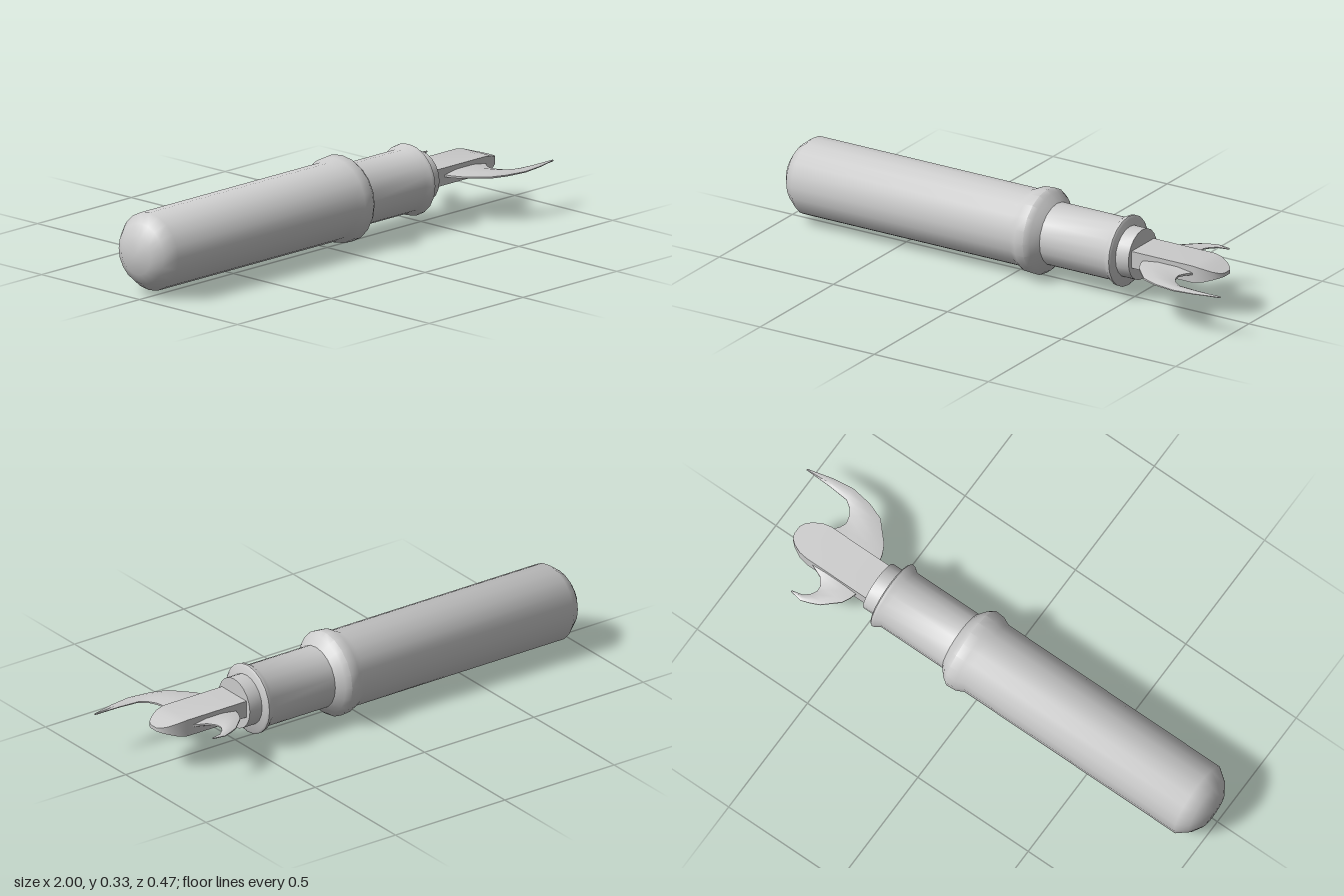
import * as THREE from 'three';
import { toCreasedNormals } from 'three/addons/utils/BufferGeometryUtils.js';

const AXIS_Y = 0.166, AXIS_Z = -0.022;
const material = new THREE.MeshStandardMaterial({ color: 0xcccccc });

function addMesh(group, name, geometry, crease) {
  const mesh = new THREE.Mesh(toCreasedNormals(geometry, crease), material);
  mesh.name = name;
  group.add(mesh);
  return mesh;
}

// Turned part along x; profile points are [radius, x]
function turned(profile) {
  const pts = profile.map(([r, x]) => new THREE.Vector2(r, x));
  return new THREE.LatheGeometry(pts, 20).rotateZ(-Math.PI / 2).translate(0, AXIS_Y, AXIS_Z);
}

// Closed skin over a row of equal-sized rings of [x, y, z] points
function loft(rings) {
  const n = rings[0].length, last = (rings.length - 1) * n;
  const p = rings.flat();
  const faces = [];
  for (let i = 0; i < rings.length - 1; i++) {
    for (let j = 0; j < n; j++) {
      const a = i * n + j, b = i * n + (j + 1) % n;
      faces.push([a, b, b + n], [a, b + n, a + n]);
    }
  }
  for (let j = 1; j < n - 1; j++) faces.push([0, j + 1, j], [last, last + j, last + j + 1]);
  // Turn all faces outward using the sign of the enclosed volume
  const v = (k) => new THREE.Vector3(...p[k]);
  let volume = 0;
  for (const [a, b, c] of faces) volume += v(a).dot(v(b).cross(v(c)));
  if (volume < 0) faces.forEach((f) => f.reverse());
  const g = new THREE.BufferGeometry();
  g.setAttribute('position', new THREE.Float32BufferAttribute(p.flat(), 3));
  g.setIndex(faces.flat());
  return g;
}

// Curved prong: stations are [outerX, outerZ, innerX, innerZ, halfThickness]
function prong(stations) {
  const y = 0.172;
  return loft(stations.map(([ox, oz, ix, iz, h]) => {
    const at = (t, dy) => [ox + (ix - ox) * t, y + dy, oz + (iz - oz) * t];
    return [at(0, h * 0.3), at(0.3, h), at(0.7, h), at(1, h * 0.3),
      at(1, -h * 0.3), at(0.7, -h), at(0.3, -h), at(0, -h * 0.3)];
  }));
}

export function createModel() {
  const group = new THREE.Group();
  group.name = 'prongedTool';

  // Handle with domed end, raised ring, slimmer neck and flared lip
  addMesh(group, 'handle', turned([
    [0, -1], [0.075, -0.995], [0.115, -0.968], [0.148, -0.925], [0.148, 0.03],
    [0.162, 0.06], [0.165, 0.1], [0.15, 0.12], [0.12, 0.145], [0.12, 0.425],
    [0.134, 0.445], [0.136, 0.458], [0.128, 0.464], [0, 0.464],
  ]), 0.75);

  // Short collar that holds the blade
  addMesh(group, 'collar', turned([[0, 0.455], [0.098, 0.455], [0.098, 0.52], [0, 0.52]]), 0.75);

  // Thick central blade thinning to a rounded tip: [x, half width, half height]
  const blade = [
    [0.5, 0.077, 0.033], [0.79, 0.077, 0.033], [0.825, 0.071, 0.027],
    [0.86, 0.054, 0.016], [0.88, 0.037, 0.01], [0.89, 0.018, 0.007],
  ];
  addMesh(group, 'blade', loft(blade.map(([x, w, h]) => [[1, 1], [1, -1], [-1, -1], [-1, 1]]
    .map(([sz, sy]) => [x, 0.17 + sy * h, AXIS_Z + sz * w]))), 0.6);

  // Long prong on the front side
  addMesh(group, 'longProng', prong([
    [0.565, 0.04, 0.8, 0.04, 0.014], [0.578, 0.085, 0.768, 0.08, 0.013],
    [0.595, 0.12, 0.757, 0.105, 0.012], [0.665, 0.195, 0.765, 0.135, 0.011],
    [0.73, 0.22, 0.78, 0.16, 0.009], [0.815, 0.233, 0.81, 0.182, 0.007],
    [0.9, 0.222, 0.89, 0.189, 0.005], [1, 0.197, 0.998, 0.192, 0.003],
  ]), 0.6);

  // Short hooked prong on the back side
  addMesh(group, 'shortProng', prong([
    [0.565, -0.09, 0.785, -0.09, 0.014], [0.575, -0.125, 0.715, -0.12, 0.012],
    [0.59, -0.155, 0.692, -0.15, 0.01], [0.65, -0.21, 0.69, -0.172, 0.008],
    [0.685, -0.226, 0.703, -0.195, 0.007], [0.72, -0.238, 0.725, -0.214, 0.005],
    [0.768, -0.229, 0.768, -0.224, 0.003],
  ]), 0.6);

  return group;
}
